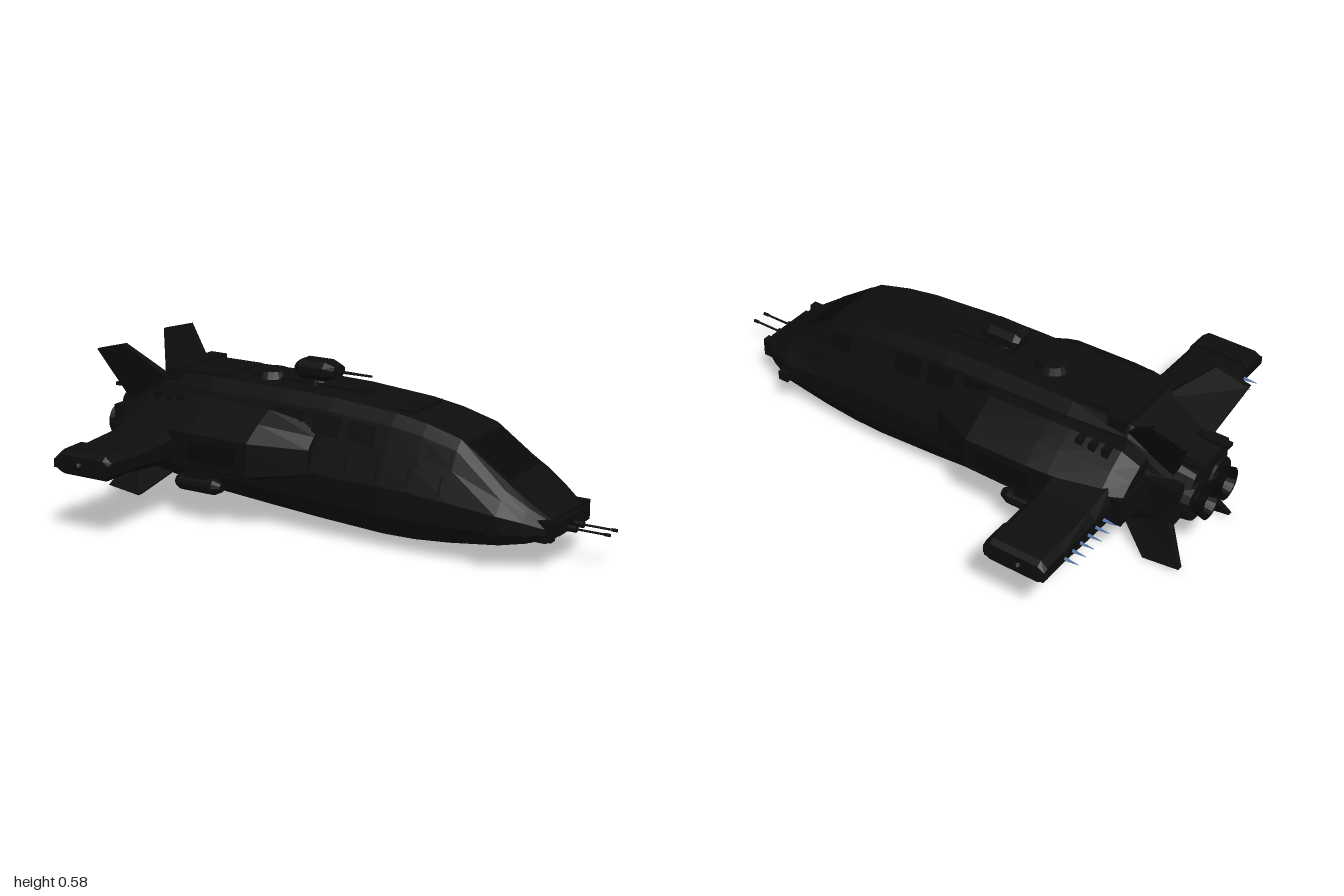
import * as THREE from 'three';

const hullMat = new THREE.MeshStandardMaterial({ name: 'hullBlack', color: 0x0d0d0d, side: THREE.DoubleSide, flatShading: true });
const darkMat = new THREE.MeshStandardMaterial({ name: 'panelBlack', color: 0x080808, side: THREE.DoubleSide, flatShading: true });
const blueMat = new THREE.MeshStandardMaterial({ name: 'spikeBlue', color: 0x5a78a8, flatShading: true });

// Joins closed rings of [x,y,z] points into a capped, faceted solid
function loft(rings) {
  const tris = [];
  const n = rings[0].length;
  for (let i = 0; i + 1 < rings.length; i++) {
    for (let j = 0; j < n; j++) {
      const k = (j + 1) % n;
      const a = rings[i][j], b = rings[i][k], c = rings[i + 1][k], d = rings[i + 1][j];
      tris.push([a, b, c], [a, c, d]);
    }
  }
  const first = rings[0], last = rings[rings.length - 1];
  for (let j = 1; j + 1 < n; j++) {
    tris.push([first[0], first[j + 1], first[j]], [last[0], last[j], last[j + 1]]);
  }
  // Turn the faces outwards if the solid came out inverted
  const o = first[0];
  const v = (p) => new THREE.Vector3(p[0] - o[0], p[1] - o[1], p[2] - o[2]);
  const volume = tris.reduce((s, [a, b, c]) => s + v(a).dot(v(b).cross(v(c))), 0);
  if (volume < 0) tris.forEach((t) => t.reverse());
  const g = new THREE.BufferGeometry();
  g.setAttribute('position', new THREE.Float32BufferAttribute(tris.flat(2), 3));
  g.computeVertexNormals();
  return g;
}

// Hull stations: x, top, bottom, half width, roof half width, waist height
const stations = [
  [-0.95, 0.36, 0.19, 0.12, 0.08, 0.28],
  [-0.86, 0.40, 0.15, 0.16, 0.10, 0.28],
  [-0.72, 0.485, 0.11, 0.20, 0.12, 0.26],
  [-0.50, 0.49, 0.085, 0.235, 0.13, 0.25],
  [-0.20, 0.49, 0.065, 0.245, 0.13, 0.24],
  [0.00, 0.485, 0.05, 0.247, 0.13, 0.24],
  [0.25, 0.465, 0.035, 0.245, 0.13, 0.235],
  [0.37, 0.445, 0.037, 0.242, 0.13, 0.23],
  [0.50, 0.41, 0.05, 0.238, 0.13, 0.22],
  [0.68, 0.285, 0.077, 0.228, 0.13, 0.20],
  [0.76, 0.228, 0.092, 0.19, 0.125, 0.18],
  [0.83, 0.18, 0.115, 0.145, 0.11, 0.155],
];

function halfSection([, T, B, W, R, Y]) {
  const h = T - Y, d = W - R;
  return [[R, T], [R + 0.3 * d, T - 0.17 * h], [R + 0.58 * d, T - 0.5 * h], [W, Y],
    [W, B + 0.5 * (Y - B)], [0.87 * W, B + 0.13 * (Y - B)], [0.45 * W, B]];
}

// Point on facet f of the hull side at x; t runs down the facet
function hullPoint(x, f, t, s, lift) {
  let i = 0;
  while (i < stations.length - 2 && stations[i + 1][0] < x) i++;
  const a = stations[i], b = stations[i + 1], u = (x - a[0]) / (b[0] - a[0]);
  const sec = halfSection(a.map((p, k) => p + (b[k] - p) * u));
  const [z0, y0] = sec[f], [z1, y1] = sec[f + 1];
  const len = Math.hypot(z1 - z0, y1 - y0);
  return [x, y0 + (y1 - y0) * t + lift * (z1 - z0) / len,
    s * (z0 + (z1 - z0) * t + lift * (y0 - y1) / len)];
}

export function createModel() {
  const root = new THREE.Group();
  root.name = 'dropship';
  const add = (name, geo, mat = hullMat, x = 0, y = 0, z = 0) => {
    const m = new THREE.Mesh(geo, mat);
    m.name = name;
    m.position.set(x, y, z);
    root.add(m);
    return m;
  };
  const box = (name, x0, x1, y0, y1, z0, z1, mat) => add(name,
    new THREE.BoxGeometry(x1 - x0, y1 - y0, Math.abs(z1 - z0)), mat, (x0 + x1) / 2, (y0 + y1) / 2, (z0 + z1) / 2);
  const rod = (name, x0, x1, y, z, r0, r1 = r0, sides = 12, mat = hullMat) =>
    add(name, new THREE.CylinderGeometry(r1, r0, x1 - x0, sides).rotateZ(-Math.PI / 2), mat, (x0 + x1) / 2, y, z);
  const plate = (name, x0, x1, f, t0, t1, s, mat = darkMat, h = 0.004) => {
    const ring = (x) => [hullPoint(x, f, t0, s, 0), hullPoint(x, f, t0, s, h), hullPoint(x, f, t1, s, h), hullPoint(x, f, t1, s, 0)];
    add(name, loft([ring(x0), ring(x1)]), mat);
  };

  // Main hull
  add('hull', loft(stations.map((st) => {
    const half = halfSection(st);
    return [...half.map(([z, y]) => [st[0], y, z]), ...half.reverse().map(([z, y]) => [st[0], y, -z])];
  })));

  // Roof: raised spine blocks, hatch and gun turret
  box('roofPlate', -0.66, -0.46, 0.47, 0.498, -0.11, 0.11);
  box('roofAftBlock', -0.71, -0.64, 0.45, 0.505, -0.14, 0.14);
  box('roofSpine', -0.28, 0.07, 0.47, 0.497, -0.035, 0.035);
  box('roofForePlate', 0.2, 0.3, 0.45, 0.47, -0.1, 0.1);
  add('roofHatch', new THREE.CylinderGeometry(0.055, 0.07, 0.03, 20), hullMat, -0.34, 0.5, 0);
  add('turretNeck', new THREE.CylinderGeometry(0.03, 0.04, 0.03, 12), hullMat, -0.14, 0.5, 0);
  const turretRing = (x, w, h) => [[w, h * 0.4], [w * 0.6, h], [-w * 0.6, h], [-w, h * 0.4],
    [-w, -h * 0.4], [-w * 0.6, -h], [w * 0.6, -h], [w, -h * 0.4]].map(([z, y]) => [x, 0.54 + y, z]);
  add('turret', loft([turretRing(-0.22, 0.04, 0.02), turretRing(-0.2, 0.05, 0.034),
    turretRing(-0.1, 0.05, 0.034), turretRing(-0.06, 0.04, 0.02)]));
  rod('turretBarrel', -0.07, 0.075, 0.54, 0, 0.006, 0.004, 8);

  // Windscreen and belly keel
  const windscreen = (x, y) => [[x, y, -0.11], [x, y, 0.11], [x + 0.004, y + 0.005, 0.11], [x + 0.004, y + 0.005, -0.11]];
  add('windscreen', loft([windscreen(0.52, 0.396), windscreen(0.67, 0.292)]), darkMat);
  box('bellySensor', 0.36, 0.39, 0.025, 0.06, -0.04, 0.04);

  // Nose
  box('noseBlock', 0.8, 0.85, 0.125, 0.17, -0.1, 0.1);
  box('noseChin', 0.74, 0.785, 0.075, 0.11, -0.06, 0.06);

  for (const s of [1, -1]) {
    // Nose guns and bumpers
    rod('noseGun', 0.82, 0.88, 0.135, s * 0.028, 0.012);
    rod('noseBarrel', 0.87, 0.99, 0.135, s * 0.028, 0.004, 0.004, 8);
    rod('noseMuzzle', 0.98, 1.0, 0.135, s * 0.028, 0.006, 0.006, 8);
    box('noseBumper', 0.78, 0.845, 0.115, 0.185, s * 0.12, s * 0.15);
    box('cheekLamp', 0.65, 0.69, 0.13, 0.165, s * 0.215, s * 0.25);

    // Side windows, door panels and waist rail
    for (const x of [-0.2, -0.05, 0.09]) plate('sideWindow', x, x + 0.105, 1, 0.15, 0.95, s);
    plate('cockpitSideWindow', 0.4, 0.49, 1, 0.1, 0.9, s);
    for (let i = 0; i < 4; i++) plate('lowerPanel', 0.01 + i * 0.12, 0.11 + i * 0.12, 2, 0.25, 0.85, s, hullMat, 0.006);
    for (const [a, b] of [[-0.19, -0.01], [0.01, 0.24], [0.38, 0.49], [0.51, 0.67]]) plate('waistRail', a, b, 3, 0, 0.2, s, hullMat, 0.008);

    // Shoulder sponson: full depth aft, tapering into the hull ahead
    const sponson = (x, k, top) => [[0.1, 0.44], [0.2, 0.435], [0.27, 0.395], [0.345, 0.34], [0.345, 0.215], [0.29, 0.19], [0.1, 0.18]]
      .map(([z, y]) => [x, 0.27 + (y - 0.27) * top, s * (z > 0.15 ? 0.15 + (z - 0.15) * k : z)]);
    add('sponson', loft([sponson(-0.8, 0.75, 0.75), sponson(-0.73, 0.84, 0.95), sponson(-0.54, 0.97, 1),
      sponson(-0.46, 1, 1), sponson(-0.22, 1, 0.95), sponson(-0.03, 0.5, 0.7)]));
    box('sponsonVent', -0.47, -0.27, 0.24, 0.31, s * 0.34, s * 0.35, darkMat);
    box('wingRootFairing', -0.81, -0.72, 0.23, 0.33, s * 0.08, s * 0.31);
    for (let i = 0; i < 3; i++) box('coolingRib', -0.7 + i * 0.05, -0.675 + i * 0.05, 0.36, 0.435, s * 0.12, s * 0.23);

    // Wing with a blunt leading and trailing edge
    const wing = (z, y0, y1) => {
      const c = (y1 - y0) * 0.25;
      return [[-0.77, y0 + c], [-0.745, y0], [-0.565, y0], [-0.54, y0 + c], [-0.54, y1 - c], [-0.565, y1], [-0.745, y1], [-0.77, y1 - c]]
        .map(([x, y]) => [x, y, s * z]);
    };
    add('wing', loft([wing(0.26, 0.2, 0.355), wing(0.4, 0.218, 0.325), wing(0.59, 0.238, 0.312)]));
    add('wingTip', loft([wing(0.585, 0.234, 0.325), wing(0.675, 0.234, 0.322), wing(0.693, 0.245, 0.308)]));
    add('tipLamp', new THREE.SphereGeometry(0.015, 10, 8), hullMat, -0.67, 0.275, s * 0.693);
    for (const x of [-0.76, -0.56]) box('tipStud', x - 0.012, x + 0.012, 0.26, 0.29, s * 0.68, s * 0.7);

    // Discharge spikes along the trailing edge
    for (let i = 0; i < 6; i++) {
      rod('spike', -0.82, -0.765, 0.268, s * (0.35 + i * 0.045), 0.001, 0.007, 6, blueMat);
    }

    // Under-wing pod on a short pylon
    rod('pod', -0.52, -0.38, 0.148, s * 0.308, 0.03);
    rod('podNose', -0.38, -0.35, 0.148, s * 0.308, 0.03, 0.016);
    rod('podTail', -0.54, -0.52, 0.148, s * 0.308, 0.02, 0.03);
    box('podPylon', -0.5, -0.4, 0.15, 0.22, s * 0.29, s * 0.326);

    // Tail fins: four corners at root and tip, each given thickness
    const fin = (name, edge, zr, zt) => {
      const ring = (a, b, z, t) => [[...a, s * z - t], [...a, s * z + t], [...b, s * z + t], [...b, s * z - t]];
      add(name, loft([ring(edge[0], edge[1], zr, 0.018), ring(edge[2], edge[3], zt, 0.01)]));
    };
    fin('upperFin', [[-0.89, 0.36], [-0.7, 0.45], [-0.97, 0.553], [-0.847, 0.585]], 0.11, 0.2);
    fin('lowerFin', [[-0.87, 0.17], [-0.69, 0.12], [-0.965, 0.024], [-0.826, 0.006]], 0.1, 0.168);

    // Engine nozzle with a dark throat
    const profile = [[0.045, -0.1], [0.052, -0.03], [0.06, 0], [0.05, 0], [0.03, -0.06], [0, -0.06]]
      .map(([r, y]) => new THREE.Vector2(r, y));
    add('engineNozzle', new THREE.LatheGeometry(profile, 20).rotateZ(Math.PI / 2), darkMat, -1, 0.25, s * 0.06);
    rod('engineCowl', -0.96, -0.82, 0.25, s * 0.075, 0.07, 0.09, 16);
    box('tailBoom', -0.985, -0.85, 0.388, 0.4, s * 0.06, s * 0.09);
    box('tailSideBlock', -0.93, -0.78, 0.2, 0.34, s * 0.12, s * 0.17);
  }
  return root;
}
